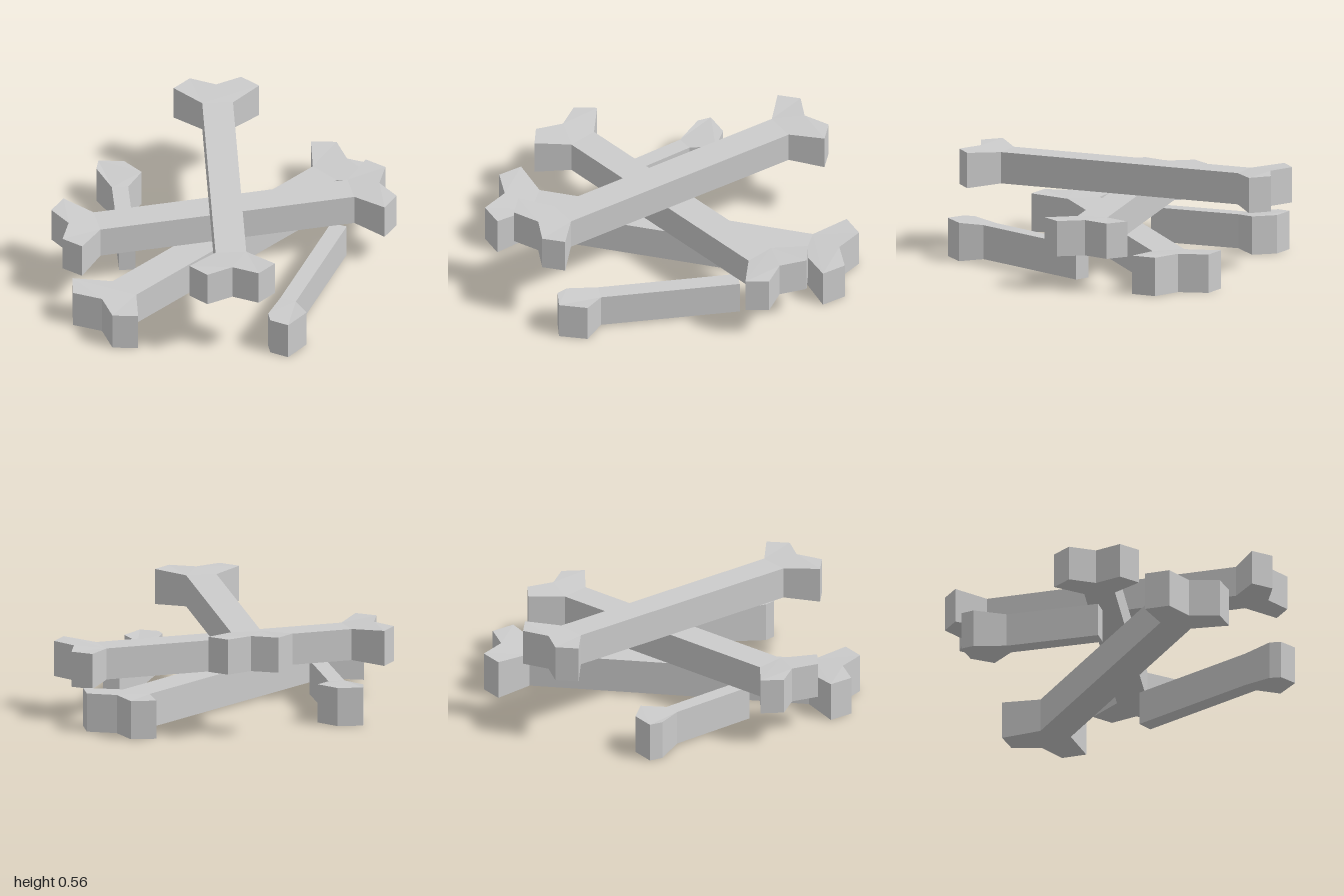
import * as THREE from 'three';
import { mergeGeometries } from 'three/addons/utils/BufferGeometryUtils.js';

const KNOB_H = 0.21, SHAFT_H = 0.186, HALF_W = 0.09;
const material = new THREE.MeshStandardMaterial({ color: 0xcccccc, flatShading: true });

// Knob from [x, z] outline points; it thins to the shaft's height where it joins (x = 0).
function knobGeometry(points) {
  const shape = new THREE.Shape(points.map(([x, z]) => new THREE.Vector2(x, z)));
  const geo = new THREE.ExtrudeGeometry(shape, { depth: KNOB_H, bevelEnabled: false });
  geo.translate(0, 0, -KNOB_H / 2).rotateX(Math.PI / 2);
  const pos = geo.attributes.position;
  for (let i = 0; i < pos.count; i++) {
    if (Math.abs(pos.getX(i)) < 1e-4) pos.setY(i, Math.sign(pos.getY(i)) * SHAFT_H / 2);
  }
  geo.computeVertexNormals();
  return geo;
}

function shaftGeometry(length, width) {
  return new THREE.BoxGeometry(length, SHAFT_H, width).toNonIndexed();
}

function addPart(group, name, parts, x, y, z, degrees, scale = 1) {
  const mesh = new THREE.Mesh(mergeGeometries(parts), material);
  mesh.name = name;
  mesh.position.set(x, y, z);
  mesh.rotation.y = THREE.MathUtils.degToRad(degrees);
  mesh.scale.setScalar(scale);
  group.add(mesh);
}

// Whole bone: a square shaft with a two-lobed knob at each end.
function wholeBone() {
  const half = 0.76;
  const lobes = [[0, -HALF_W], [0.145, -0.25], [0.24, -0.15], [0.17, 0],
    [0.24, 0.15], [0.145, 0.25], [0, HALF_W]];
  const knob = knobGeometry(lobes).translate(half, 0, 0);
  return [shaftGeometry(half * 2, HALF_W * 2), knob, knob.clone().rotateY(Math.PI)];
}

// Broken bone: a thin shaft with one knob, cut off at the other end.
function brokenBone(length, width, outline) {
  return [shaftGeometry(length, width).translate(-length / 2, 0, 0), knobGeometry(outline)];
}

export function createModel() {
  const group = new THREE.Group();
  group.name = 'bonePile';

  // Three crossed bones stacked in layers
  addPart(group, 'bottomBone', wholeBone(), 0, 0.105, 0.02, 0);
  addPart(group, 'middleBone', wholeBone(), -0.004, 0.285, 0.02, -32.3, 0.92);
  addPart(group, 'topBone', wholeBone(), -0.003, 0.463, 0.021, 48, 0.92);

  // Broken pieces lying on the ground
  addPart(group, 'backBrokenBone', brokenBone(0.51, 0.088, [[0, -0.044], [0.165, -0.115],
    [0.238, -0.098], [0.224, 0.039], [0.114, 0.126], [0, 0.044]]), -0.11, 0.105, -0.665, 49.5);
  addPart(group, 'frontBrokenBone', brokenBone(0.755, 0.09, [[0, -0.045], [0.088, -0.142],
    [0.236, -0.093], [0.227, 0.013], [0.173, 0.047], [0, 0.045]]), -0.217, 0.105, 0.72, -156.2);
  return group;
}
